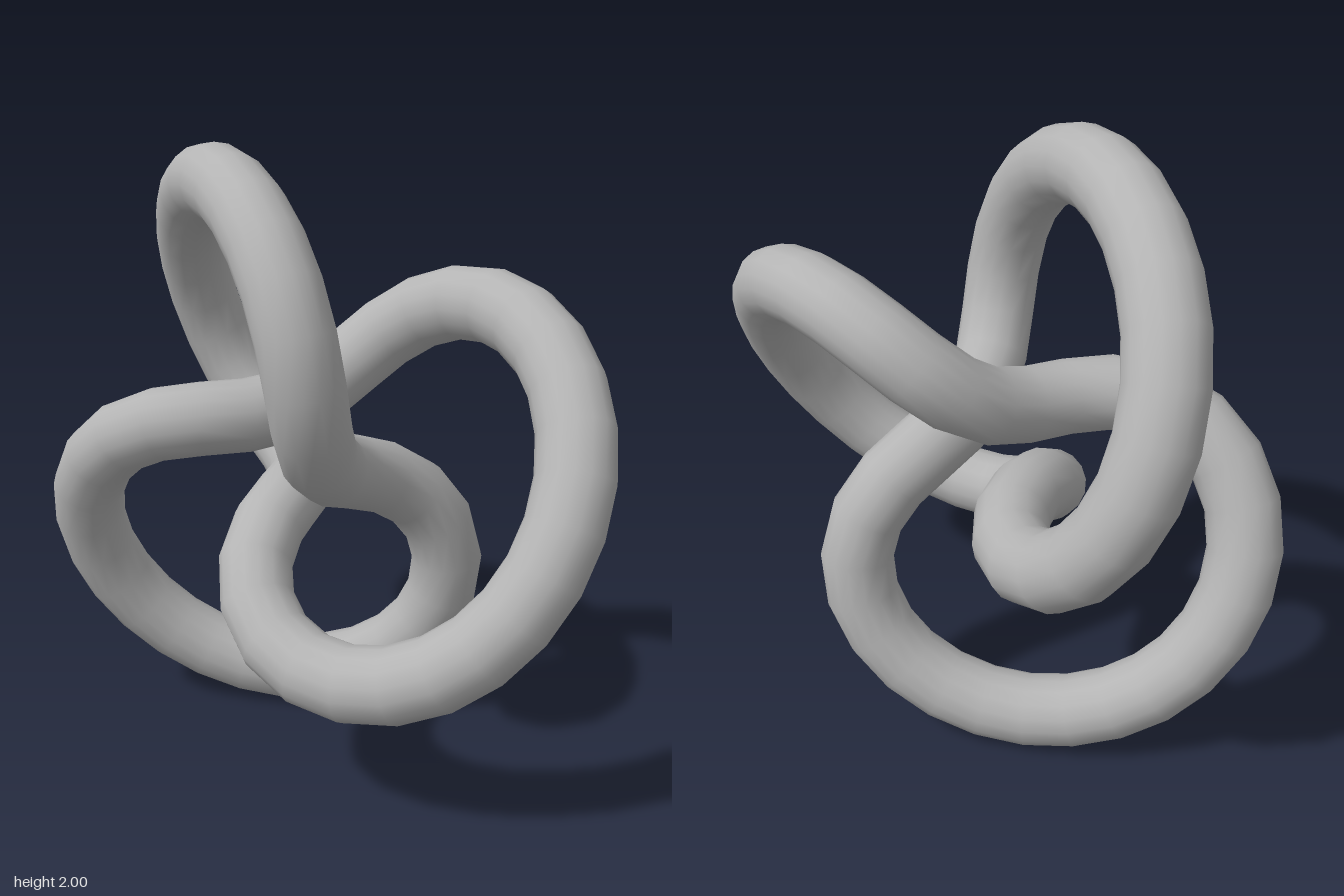
import * as THREE from 'three';

// Centre line: winds twice around the axis and three times around a torus
class TrefoilCurve extends THREE.Curve {
  constructor(ringRadius, swing, offsetX, offsetY) {
    super();
    Object.assign(this, { ringRadius, swing, offsetX, offsetY });
  }
  getPoint(u, target = new THREE.Vector3()) {
    const t = u * Math.PI * 2;
    const r = this.ringRadius + this.swing * Math.cos(3 * t);
    return target.set(
      this.offsetX + r * Math.cos(2 * t),
      this.offsetY + r * Math.sin(2 * t),
      -this.swing * Math.sin(3 * t)
    );
  }
}

export function createModel() {
  const group = new THREE.Group();
  group.name = 'trefoilKnot';

  const grey = new THREE.MeshStandardMaterial({ color: 0xb4b4b4 });
  grey.name = 'grey';

  // Round tube swept along the closed knot
  const unit = 0.1885;
  const path = new TrefoilCurve(3 * unit, 2 * unit, -0.11, 1);
  const knot = new THREE.Mesh(new THREE.TubeGeometry(path, 72, 0.118, 16, true), grey);
  knot.name = 'knotTube';
  group.add(knot);

  return group;
}
